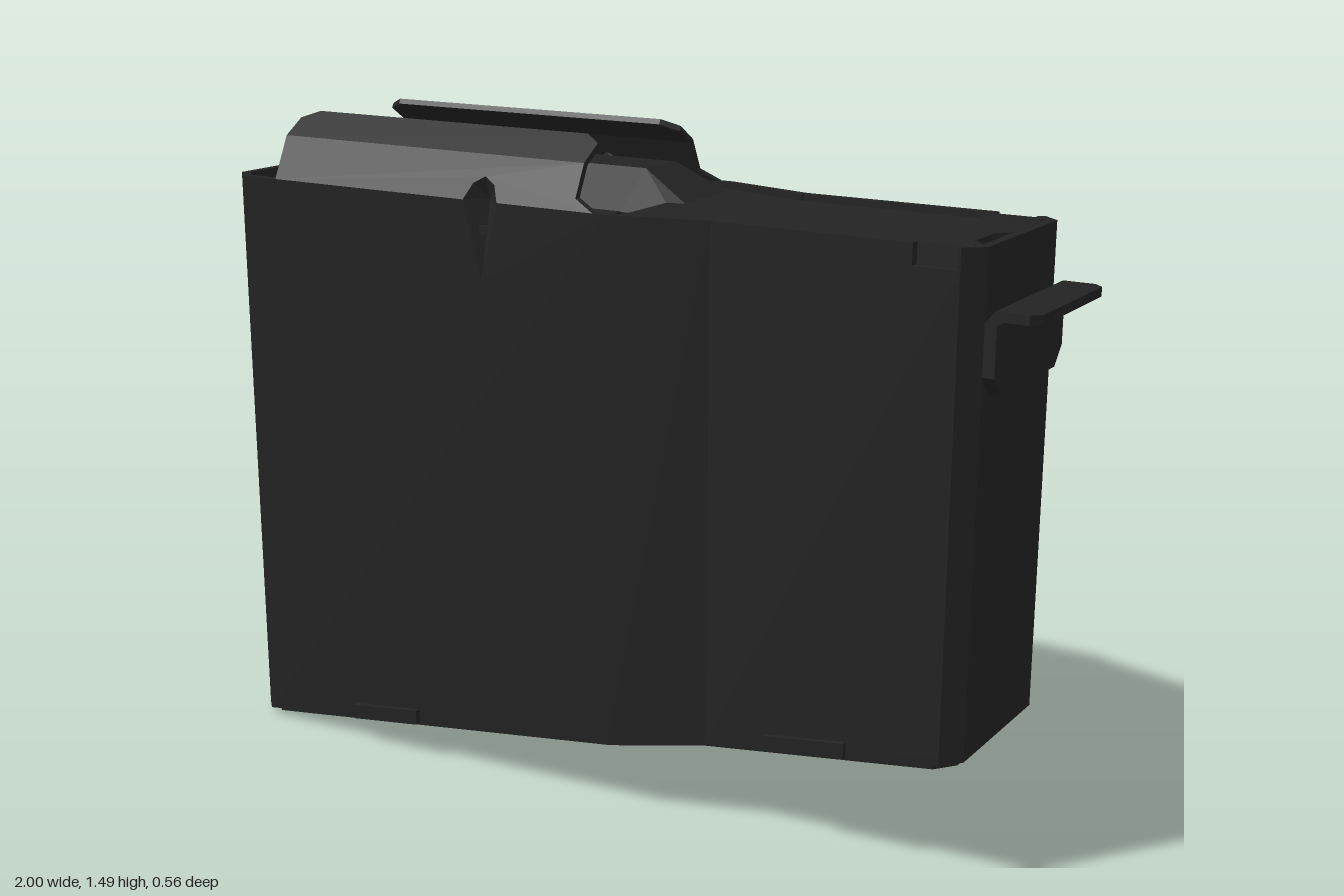
import * as THREE from 'three';

const TOP = 1.345, WALL = 0.02;
const floorY = x => 0.012 + (x + 0.96) * 0.146;

export function createModel() {
  const model = new THREE.Group();
  const mat = new THREE.MeshStandardMaterial({ color: 0x232323, side: THREE.DoubleSide, flatShading: true });
  mat.name = 'blackened steel';

  const add = (name, geo) => {
    const m = new THREE.Mesh(geo, mat);
    m.name = name;
    model.add(m);
    return m;
  };
  const shapeOf = pts => new THREE.Shape(pts.map(p => new THREE.Vector2(p[0], p[1])));
  const slab = (pts, depth) => new THREE.ExtrudeGeometry(shapeOf(pts), { depth, bevelEnabled: false });
  // Move every vertex by a rule
  const warp = (geo, rule) => {
    const p = geo.attributes.position;
    for (let i = 0; i < p.count; i++) p.setXYZ(i, ...rule(p.getX(i), p.getY(i), p.getZ(i)));
    geo.computeVertexNormals();
    return geo;
  };
  const box = (name, x0, x1, y0, y1, z0, z1) => {
    const g = new THREE.BoxGeometry(x1 - x0, y1 - y0, z1 - z0);
    return add(name, g.translate((x0 + x1) / 2, (y0 + y1) / 2, (z0 + z1) / 2));
  };
  const faces = (name, triangles) => {
    const g = new THREE.BufferGeometry();
    g.setAttribute('position', new THREE.Float32BufferAttribute(triangles.flat(2), 3));
    g.computeVertexNormals();
    return add(name, g);
  };
  // Horizontal plate from a plan outline in x, z
  const plate = (name, pts, y0, y1) => add(name, warp(slab(pts, y1 - y0), (x, z, d) => [x, y0 + d, z]));

  // Plan outline of one side, rear to front
  const half = [[-0.96, 0.225], [-0.92, 0.265], [0.08, 0.265], [0.3, 0.21], [0.85, 0.21], [0.89, 0.175]];
  const mirrored = pts => [...pts, ...pts.slice().reverse().map(([x, z]) => [x, -z])];

  // Teardrop dent outline, shared by wall and lip
  const dx = -0.24;
  const wallNotch = [[dx + 0.045, TOP], [dx, 1.17], [dx - 0.045, TOP]];
  const lipNotch = [[dx - 0.045, TOP], [dx - 0.028, 1.38], [dx, 1.395], [dx + 0.028, 1.38], [dx + 0.045, TOP]];
  const lipZ = y => y <= TOP ? 0.265 : y <= 1.44
    ? 0.265 - (y - TOP) / (1.44 - TOP) * 0.045
    : 0.22 - (y - 1.44) / 0.05 * 0.075;

  for (const s of [1, -1]) {
    // Side walls, one panel per outline segment
    for (let i = 0; i < half.length - 1; i++) {
      const [x0, z0] = half[i], [x1, z1] = half[i + 1];
      const len = Math.hypot(x1 - x0, z1 - z0);
      const nx = (z1 - z0) / len, nz = -(x1 - x0) / len;
      let rim = [];
      if (i === 1) rim = wallNotch;
      if (i === 3) rim = [[0.85, 1.3], [0.75, 1.3], [0.75, TOP]];
      const start = i === 3 ? [] : [[x1, TOP]];
      const pts = [[x0, floorY(x0)], [x1, floorY(x1)], ...start, ...rim, [x0, TOP]];
      add('sideWall', warp(slab(pts, WALL), (x, y, d) => {
        const t = (x - x0) / (x1 - x0);
        return [x + nx * d, y, s * (z0 + (z1 - z0) * t + nz * d)];
      }));
    }

    // Bent feed lips
    const lower = [[-0.82, TOP], ...lipNotch, [0.05, TOP], [0, 1.37], [0, 1.44], [-0.82, 1.44]];
    const upper = [[-0.82, 1.44], [0, 1.44], [0, 1.475], [-0.04, 1.49], [-0.78, 1.49], [-0.82, 1.475]];
    add('feedLipLower', warp(slab(lower, 0.016), (x, y, d) => [x, y, s * (lipZ(y) - d)]));
    add('feedLipUpper', warp(slab(upper, 0.014), (x, y, d) => [x, y - d * 0.8, s * (lipZ(y) - d * 0.4)]));

    // Pressed dent
    const ring = [...lipNotch, [dx, 1.17], lipNotch[0]].map(([x, y]) => [x, y, s * lipZ(y)]);
    const apex = [dx, TOP, s * 0.226];
    faces('dent', ring.slice(1).map((p, i) => [ring[i], p, apex]));

    // Recess behind the front corner notch
    const z = s * 0.175;
    box('cornerRecess', 0.73, 0.86, 1.28, TOP, z - 0.01, z + 0.01);

    // Floor plate catches, following the sloped base
    for (const [x0, x1, zo] of [[-0.64, -0.45, 0.278], [0.45, 0.64, 0.222]]) {
      const b = slab([[x0, floorY(x0)], [x1, floorY(x1)], [x1, floorY(x1) + 0.035], [x0, floorY(x0) + 0.035]], 0.04);
      add('floorCatch', warp(b, (x, y, d) => [x, y, s * (zo - d)]));
    }
  }

  // End walls
  box('rearWall', -0.96, -0.94, floorY(-0.96), TOP, -0.225, 0.225);
  box('frontWall', 0.87, 0.89, floorY(0.89), TOP, -0.175, 0.175);

  // Sloped base and its inset floor plate
  const outline = mirrored(half);
  add('base', warp(slab(outline, 0.02), (x, z, d) => [x, floorY(x) + d, z]));
  const inset = outline.map(([x, z]) => [x * 0.98, z * 0.94]);
  add('floorPlate', warp(slab(inset, 0.012), (x, z, d) => [x, floorY(x) - d, z]));

  // Inner decks, the front one scooped at its end
  const inner = outline.map(([x, z]) => [x * 0.985, z * 0.95]);
  plate('innerDeck', inner, 1.27, 1.29);
  plate('frontDeck', [[0.06, -0.25], [0.3, -0.195], [0.74, -0.195], [0.74, -0.165], [0.86, -0.165], [0.86, -0.1],
    [0.81, -0.05], [0.81, 0.05], [0.86, 0.1], [0.86, 0.165], [0.74, 0.165], [0.74, 0.195], [0.3, 0.195], [0.06, 0.25]], 1.29, 1.33);

  // Stepped follower, ramping down at its front
  const full = [[1.29, -0.21], [1.388, -0.21], [1.388, -0.085], [1.305, 0.02], [1.29, 0.02]];
  const low = [[1.29, -0.21], [1.331, -0.21], [1.331, -0.02], [1.305, 0.02], [1.29, 0.02]];
  const sections = [[-0.91, full], [-0.04, full], [0.1, low]].map(([x, pr]) => pr.map(([y, z]) => [x, y, z]));
  const tris = [];
  for (let k = 0; k < 2; k++) {
    for (let i = 0; i < 4; i++) {
      const a = sections[k][i], b = sections[k][i + 1], c = sections[k + 1][i + 1], d = sections[k + 1][i];
      tris.push([a, d, c], [a, c, b]);
    }
  }
  const e = sections[0];
  for (let i = 1; i < 4; i++) tris.push([e[0], e[i], e[i + 1]]);
  faces('follower', tris);
  for (const [x0, x1] of [[-0.86, -0.68], [-0.57, -0.35], [-0.24, -0.04]])
    box('followerTab', x0, x1, 1.28, 1.306, 0.015, 0.06);

  // Rear spine rib
  box('rearRib', -1, -0.955, 0.85, 1.28, -0.085, 0.08);

  // Front latch: plate, bend and shelf
  const latch = slab([[-0.14, 1.05], [0.14, 1.05], [0.175, 1.09], [0.175, 1.2], [-0.175, 1.2], [-0.175, 1.09]], 0.025);
  add('latchPlate', warp(latch, (z, y, d) => [0.89 + d, y, z]));
  const bend = slab([[0.892, 1.2], [0.915, 1.195], [0.93, 1.203], [0.93, 1.223], [0.91, 1.223]], 0.35);
  add('latchBend', bend.translate(0, 0, -0.175));
  plate('latchShelf', mirrored([[0.92, 0.175], [0.98, 0.175], [1, 0.155]]), 1.203, 1.223);

  return model;
}
